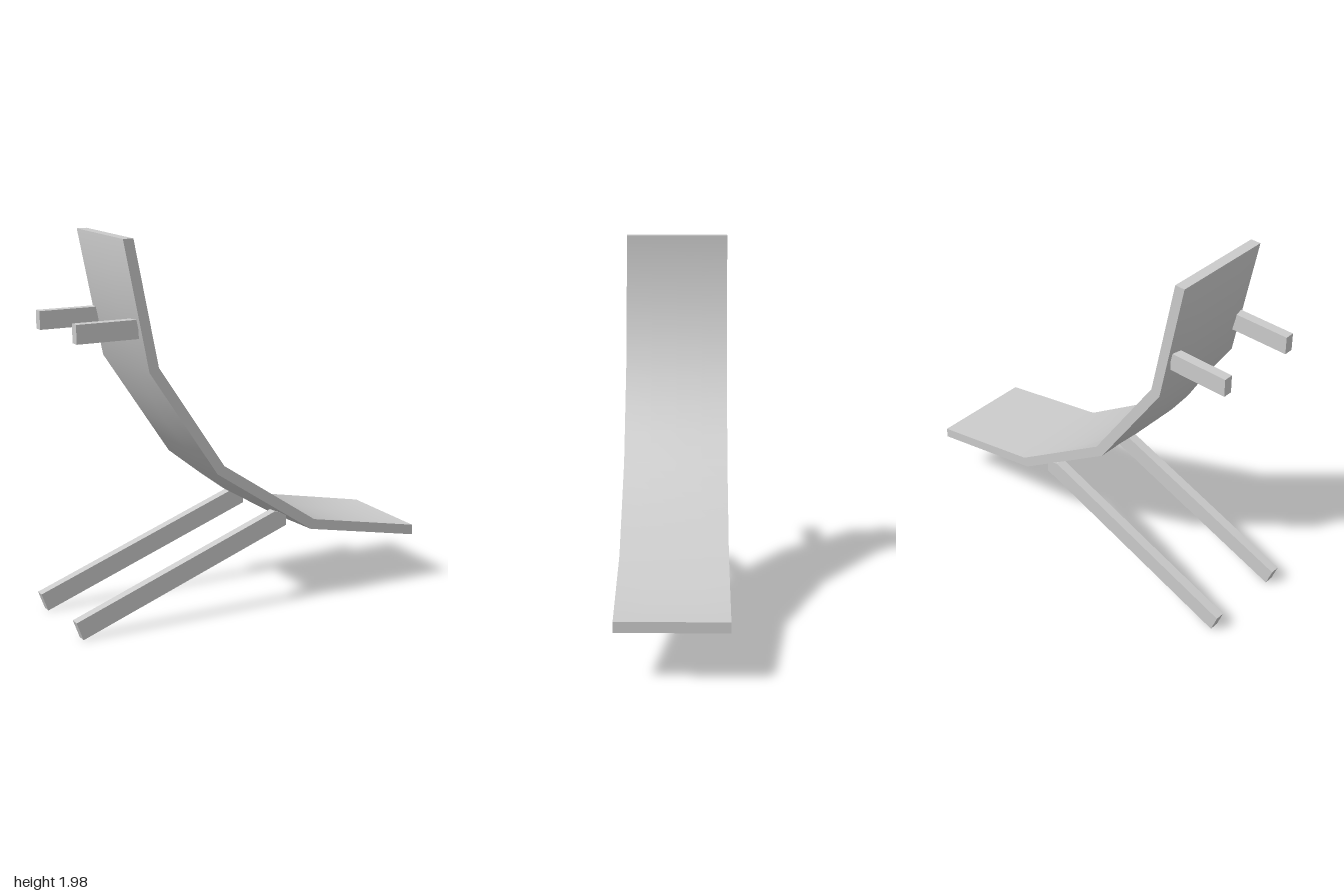
import * as THREE from 'three';

const CX = 1, CY = 1.98;          // centre of the quarter arc
const R_OUT = 1.725, R_IN = 1.67; // underside and top side radii
const HALF = 0.28;                // half width
const FACETS = 4, FINE = 4;       // straight facets per side edge, fine steps per facet

const arcPoint = (r, a) => new THREE.Vector2(CX - r * Math.sin(a), CY - r * Math.cos(a));

// Point on the straight-faceted side edge, at t = 0..1 along the arc
function edgePoint(r, t) {
  const i = Math.min(Math.floor(t * FACETS), FACETS - 1);
  const step = Math.PI / 2 / FACETS;
  return arcPoint(r, i * step).lerp(arcPoint(r, (i + 1) * step), t * FACETS - i);
}

// Curved sheet: true arc in the middle, faceted along both side edges
function sheet(r, facing) {
  const geo = new THREE.PlaneGeometry(1, 1, FACETS * FINE, 4);
  const { position: pos, normal } = geo.attributes;
  for (let i = 0; i < pos.count; i++) {
    const t = pos.getX(i) + 0.5, v = pos.getY(i) * 2;
    const a = t * Math.PI / 2;
    const p = Math.abs(v) > 0.99 ? edgePoint(r, t) : arcPoint(r, a);
    pos.setXYZ(i, p.x, p.y, v * HALF * facing);
    normal.setXYZ(i, Math.sin(a) * facing, Math.cos(a) * facing, 0);
  }
  return geo;
}

export function createModel() {
  const model = new THREE.Group();
  const material = new THREE.MeshStandardMaterial({ color: 0xcccccc });
  const add = (name, geo, parent) => {
    const mesh = new THREE.Mesh(geo, material);
    mesh.name = name;
    parent.add(mesh);
    return mesh;
  };

  // Curved panel
  const panel = new THREE.Group();
  panel.name = 'curvedPanel';
  model.add(panel);
  add('topSurface', sheet(R_IN, 1), panel);
  add('underside', sheet(R_OUT, -1), panel);

  // Faceted side faces, front and back
  const outline = [];
  for (let i = 0; i <= FACETS; i++) outline.push(edgePoint(R_OUT, i / FACETS));
  for (let i = FACETS; i >= 0; i--) outline.push(edgePoint(R_IN, i / FACETS));
  for (const side of [1, -1]) {
    const geo = new THREE.ShapeGeometry(new THREE.Shape(outline));
    if (side < 0) geo.scale(-1, 1, 1).rotateY(Math.PI); // mirrored outline turned to face back
    if (side < 0) {
      const idx = geo.index.array;
      for (let i = 0; i < idx.length; i += 3) [idx[i], idx[i + 1]] = [idx[i + 1], idx[i]];
      geo.computeVertexNormals();
    }
    add(side > 0 ? 'frontSide' : 'backSide', geo.translate(0, 0, side * HALF), panel);
  }

  // Flat ends of the panel
  const thick = R_OUT - R_IN, mid = (R_OUT + R_IN) / 2;
  add('lowerEnd', new THREE.PlaneGeometry(HALF * 2, thick).rotateY(Math.PI / 2)
    .translate(CX, CY - mid, 0), panel);
  add('upperEnd', new THREE.PlaneGeometry(thick, HALF * 2).rotateX(-Math.PI / 2)
    .translate(CX - mid, CY, 0), panel);

  // Sloping legs and short upper brackets, one pair on each side
  const legShape = new THREE.Shape([
    [-1, 0.095], [-0.965, 0], [0.2, 0.425], [0.2, 0.485], [0.13, 0.508],
  ].map(([x, y]) => new THREE.Vector2(x, y)));
  for (const [label, z] of [['front', 0.235], ['back', -0.235]]) {
    const leg = new THREE.ExtrudeGeometry(legShape, { depth: 0.05, bevelEnabled: false });
    add(label + 'Leg', leg.translate(0, 0, z - 0.025), model);
    add(label + 'Bracket', new THREE.BoxGeometry(0.325, 0.095, 0.05)
      .translate(-0.8025, 1.5375, z), model);
  }
  return model;
}
